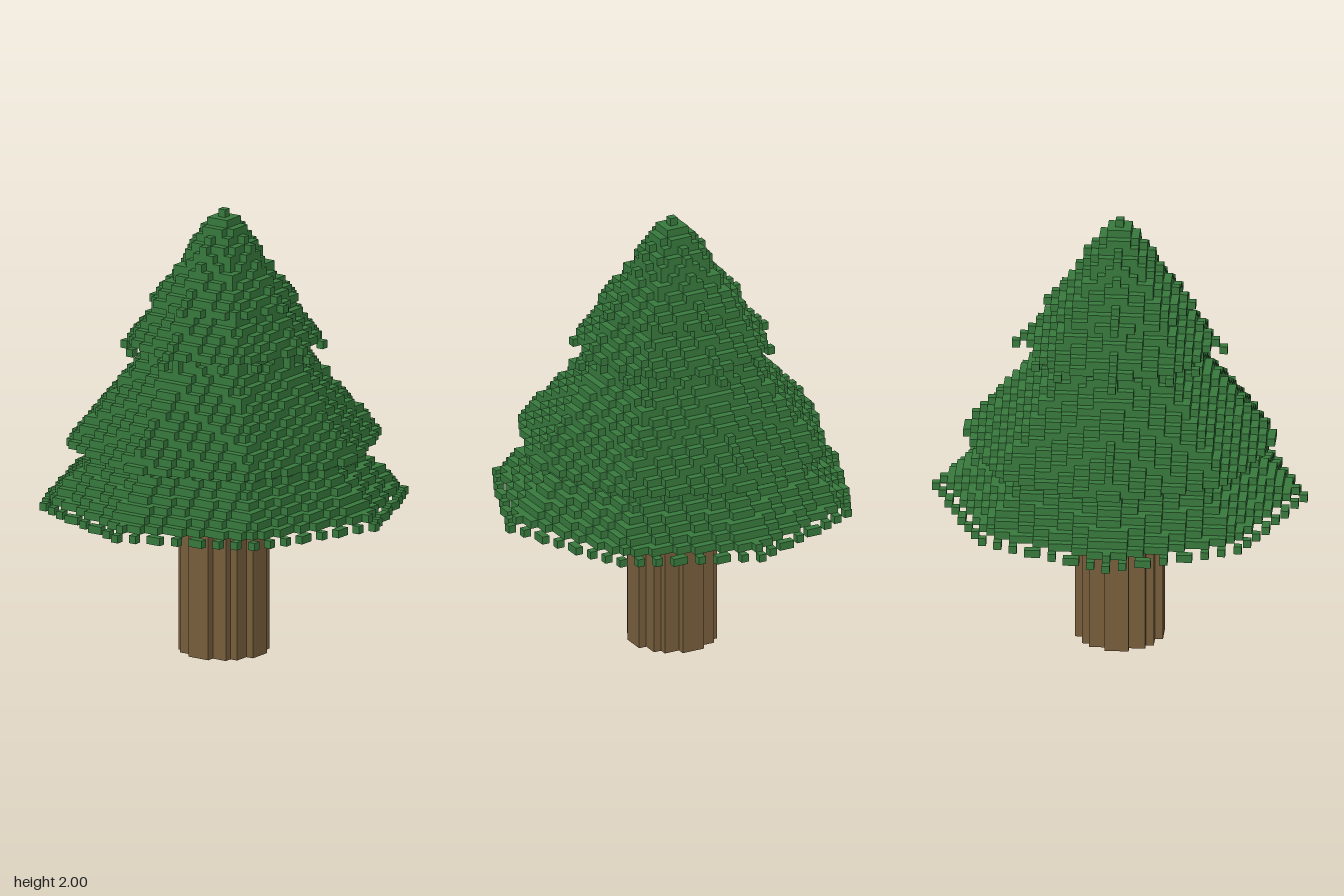
import * as THREE from 'three';

const S = 2 / 57; // voxel size: the tree is 57 layers tall
const TRUNK_TOP = 22;
const TRUNK_RADIUS = 5.45;

// Octagonal distance from the trunk axis, in voxels
const octagon = (x, z) => {
  const a = Math.abs(x), b = Math.abs(z);
  return Math.max(a, b) + 0.4142 * Math.min(a, b);
};

const isTrunk = (x, y, z) => y >= 0 && y < TRUNK_TOP && octagon(x, z) <= TRUNK_RADIUS;

// Outer radius of each foliage layer: four stacked cones
const FIRST = 19;
const RADII = [
  23.15, 22.05, 20.95, 19.85, 18.75, 17.65, 16.6, 16.1,
  19.75, 18.88, 18.01, 17.14, 16.27, 15.4, 14.53, 13.66, 12.79, 11.92, 10.9, 10.4, 10.1,
  13.05, 12.1, 11.3, 10.4, 9.5, 8.6,
  9.2, 8.3, 7.4, 6.5, 5.8, 5.2, 4.7, 4.2, 3.4, 2.6, 1.7, 0.5,
];
// Layer 39 is the narrow body of the second cone with the third cone's tips around it
RADII.splice(20, 1);
const TIP_LAYER = 39;

// Hollows under the skirt
const INNER = { 19: 22.6, 20: 12, 21: 7.2 };

const isLeaf = (x, y, z) => {
  const r = RADII[y - FIRST];
  if (r === undefined || isTrunk(x, y, z)) return false;
  const d = octagon(x, z);
  if (y === TIP_LAYER && d > 10.1 && d < 12.85) return false;
  return d <= r && d >= (INNER[y] ?? 0);
};

// Builds only the exposed faces of the voxels chosen by a rule
function voxels(name, inside, yMin, yMax, radius, material) {
  const solid = (p) => isTrunk(...p) || isLeaf(...p);
  const positions = [], normals = [], index = [];
  const square = [[0, 0], [1, 0], [1, 1], [0, 1]];

  const addFace = (cell, axis, sign) => {
    const u = (axis + 1) % 3, v = (axis + 2) % 3;
    const base = positions.length / 3;
    for (const [a, b] of square) {
      const p = [cell[0] - 0.5, cell[1], cell[2] - 0.5];
      p[axis] += sign > 0 ? 1 : 0;
      p[u] += a;
      p[v] += b;
      const n = [0, 0, 0];
      n[axis] = sign;
      positions.push(p[0] * S, p[1] * S, p[2] * S);
      normals.push(...n);
    }
    const order = sign > 0 ? [0, 1, 2, 0, 2, 3] : [0, 2, 1, 0, 3, 2];
    index.push(...order.map((i) => base + i));
  };

  for (let y = yMin; y < yMax; y++) {
    for (let x = -radius; x <= radius; x++) {
      for (let z = -radius; z <= radius; z++) {
        if (!inside(x, y, z)) continue;
        for (let axis = 0; axis < 3; axis++) {
          for (const sign of [-1, 1]) {
            const next = [x, y, z];
            next[axis] += sign;
            if (!solid(next)) addFace([x, y, z], axis, sign);
          }
        }
      }
    }
  }

  const geometry = new THREE.BufferGeometry();
  geometry.setAttribute('position', new THREE.Float32BufferAttribute(positions, 3));
  geometry.setAttribute('normal', new THREE.Float32BufferAttribute(normals, 3));
  geometry.setIndex(index);
  const mesh = new THREE.Mesh(geometry, material);
  mesh.name = name;
  return mesh;
}

export function createModel() {
  const bark = new THREE.MeshStandardMaterial({ color: 0x765d3c });
  bark.name = 'bark brown';
  const needles = new THREE.MeshStandardMaterial({ color: 0x37793d });
  needles.name = 'needle green';

  const tree = new THREE.Group();
  tree.name = 'tree';
  tree.add(voxels('trunk', isTrunk, 0, TRUNK_TOP, 6, bark));

  // One mesh for each tier of branches
  const tiers = [
    ['lowerBranches', 19, 27],
    ['middleBranches', 27, 39],
    ['upperBranches', 39, 45],
    ['crown', 45, 57],
  ];
  for (const [name, from, to] of tiers) {
    tree.add(voxels(name, isLeaf, from, to, 23, needles));
  }
  return tree;
}
